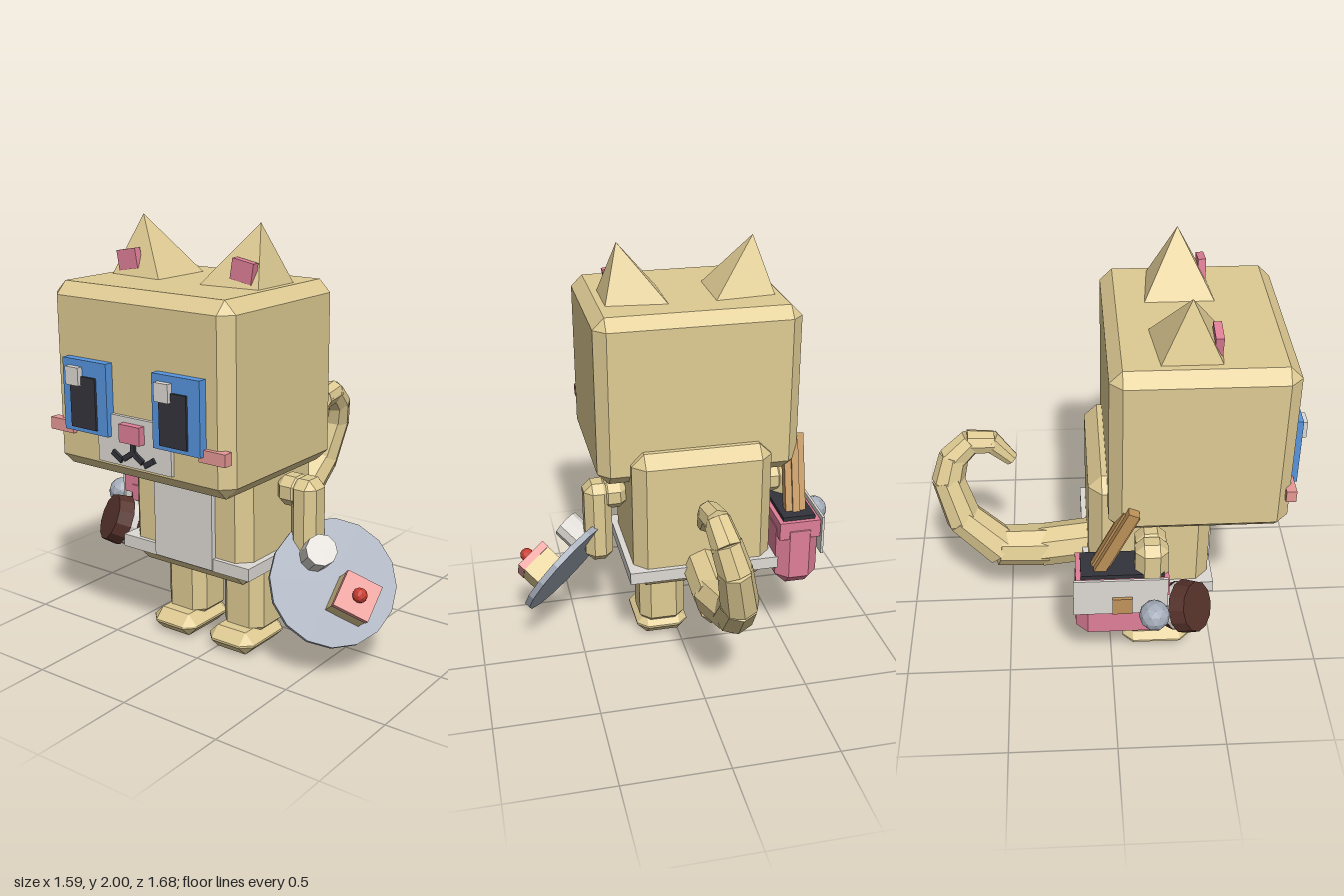
import * as THREE from 'three';
import { ConvexGeometry } from 'three/addons/geometries/ConvexGeometry.js';

const V = (x, y, z) => new THREE.Vector3(x, y, z);
const CX = -0.09; // body symmetry plane

export function createModel() {
  const root = new THREE.Group();
  root.name = 'catAdventurer';

  const material = (name, color) => {
    const m = new THREE.MeshStandardMaterial({ color, flatShading: true });
    m.name = name;
    return m;
  };
  const fur = material('fur', 0xdfcb93);
  const white = material('white', 0xdedad5);
  const blue = material('blue', 0x5795de);
  const pink = material('pink', 0xe07f98);
  const blush = material('blush', 0xe89a96);
  const black = material('black', 0x33343b);
  const steel = material('steel', 0xa4acb9);
  const brown = material('brown', 0x56322b);
  const wood = material('wood', 0xc0935a);
  const red = material('red', 0xc83a30);

  const add = (name, geometry, mat, pos = V(0, 0, 0), parent = root) => {
    const mesh = new THREE.Mesh(geometry, mat);
    mesh.name = name;
    mesh.position.copy(pos);
    parent.add(mesh);
    return mesh;
  };

  // Box given by its limits on each axis
  const box = (name, mat, x0, x1, y0, y1, z0, z1, parent) =>
    add(name, new THREE.BoxGeometry(x1 - x0, y1 - y0, z1 - z0), mat,
      V((x0 + x1) / 2, (y0 + y1) / 2, (z0 + z1) / 2), parent);

  // Box with all edges chamfered by c
  const chamferBox = (name, mat, x0, x1, y0, y1, z0, z1, c) => {
    const h = V((x1 - x0) / 2, (y1 - y0) / 2, (z1 - z0) / 2);
    const points = [];
    for (const sx of [-1, 1]) for (const sy of [-1, 1]) for (const sz of [-1, 1]) {
      points.push(V(sx * h.x, sy * (h.y - c), sz * (h.z - c)));
      points.push(V(sx * (h.x - c), sy * h.y, sz * (h.z - c)));
      points.push(V(sx * (h.x - c), sy * (h.y - c), sz * h.z));
    }
    return add(name, new ConvexGeometry(points), mat,
      V((x0 + x1) / 2, (y0 + y1) / 2, (z0 + z1) / 2));
  };

  // Cylinder or cone between two points
  const rod = (name, mat, a, b, ra, rb, sides) => {
    const d = b.clone().sub(a);
    const mesh = add(name, new THREE.CylinderGeometry(rb, ra, d.length(), sides), mat,
      a.clone().add(b).multiplyScalar(0.5));
    mesh.quaternion.setFromUnitVectors(V(0, 1, 0), d.normalize());
    return mesh;
  };

  // Head and torso
  chamferBox('head', fur, -0.58, 0.40, 0.915, 1.74, -0.02, 0.77, 0.055);
  chamferBox('torso', fur, -0.43, 0.25, 0.38, 1.09, -0.105, 0.455, 0.06);
  box('bib', white, -0.255, 0.08, 0.45, 0.93, 0.42, 0.48);
  box('belt', white, -0.455, 0.28, 0.445, 0.505, -0.13, 0.475);

  // Paired parts, mirrored about the symmetry plane
  for (const s of [-1, 1]) {
    const side = s > 0 ? 'left' : 'right';
    const pair = (make, name, mat, x0, x1, ...rest) => make(side + name, mat,
      CX + Math.min(s * x0, s * x1), CX + Math.max(s * x0, s * x1), ...rest);

    pair(chamferBox, 'Leg', fur, 0.055, 0.285, 0.06, 0.46, 0.06, 0.29, 0.05);
    pair(chamferBox, 'Foot', fur, 0.04, 0.30, 0, 0.11, 0.06, 0.39, 0.05);
    pair(chamferBox, 'Shoulder', fur, 0.33, 0.47, 0.73, 0.87, 0.10, 0.24, 0.04);
    pair(chamferBox, 'Arm', fur, 0.41, 0.545, 0.45, 0.87, 0.095, 0.245, 0.04);
    pair(box, 'Eye', blue, 0.127, 0.378, 1.105, 1.425, 0.76, 0.81);
    pair(box, 'Cheek', blush, 0.352, 0.488, 1.08, 1.135, 0.745, 0.79);

    // Ears are pyramids leaning outward
    add(side + 'Ear', new ConvexGeometry([
      V(CX + s * 0.11, 1.735, 0.16), V(CX + s * 0.405, 1.735, 0.19),
      V(CX + s * 0.405, 1.735, 0.45), V(CX + s * 0.11, 1.735, 0.475),
      V(CX + s * 0.325, 2.0, 0.32),
    ]), fur);
    const inner = add(side + 'InnerEar', new THREE.BoxGeometry(0.11, 0.09, 0.035), pink,
      V(CX + s * 0.317, 1.81, 0.43));
    inner.rotation.z = -s * 0.17;

    // Pupils and glints keep the same offset in both eyes
    const ex = s > 0 ? 0.04 : -0.46;
    box(side + 'Pupil', black, ex + 0.04, ex + 0.185, 1.125, 1.355, 0.80, 0.82);
    box(side + 'Glint', white, ex + 0.03, ex + 0.105, 1.315, 1.395, 0.80, 0.837);

    // Mouth curve, two short bars each side
    const bar = (x, y, a) => {
      const m = add(side + 'Mouth', new THREE.BoxGeometry(0.062, 0.024, 0.02), black,
        V(CX + s * x, y, 0.79));
      m.rotation.z = s * a;
    };
    bar(0.027, 1.037, -0.6);
    bar(0.09, 1.025, 0.55);
  }

  // Muzzle
  box('muzzle', white, -0.295, 0.115, 0.985, 1.205, 0.76, 0.787);
  box('nose', pink, -0.145, -0.03, 1.10, 1.18, 0.78, 0.82);
  box('mouthStem', black, -0.1, -0.078, 1.04, 1.10, 0.78, 0.80);

  // Tail of tapering eight-sided segments: x, y, z, radius
  const tail = [
    [-0.09, 0.48, -0.08, 0.105], [-0.09, 0.45, -0.32, 0.105], [-0.125, 0.485, -0.53, 0.098],
    [-0.10, 0.65, -0.70, 0.088], [-0.06, 0.85, -0.76, 0.078], [-0.03, 0.96, -0.73, 0.07],
    [-0.01, 1.035, -0.65, 0.06], [0.0, 1.025, -0.55, 0.055], [0.0, 0.93, -0.465, 0.035],
  ];
  for (let i = 0; i < tail.length - 1; i++) {
    const a = V(...tail[i]), b = V(...tail[i + 1]);
    const overlap = b.clone().sub(a).normalize().multiplyScalar(0.012);
    rod('tailSegment', fur, a.sub(overlap), b.add(overlap), tail[i][3], tail[i + 1][3], 8);
  }

  // Tray with cup and cake; local y is the tray's normal
  const tray = new THREE.Group();
  tray.name = 'tray';
  tray.position.set(0.54, 0.41, 0.19);
  const normal = V(0.63, 0.55, 0.55).normalize();
  const across = V(0, -1, 1).normalize();
  tray.quaternion.setFromRotationMatrix(new THREE.Matrix4().makeBasis(
    normal.clone().cross(across), normal, across));
  root.add(tray);
  add('trayPlate', new THREE.CylinderGeometry(0.293, 0.293, 0.03, 16), steel, V(0, 0, 0), tray);
  add('cup', new THREE.CylinderGeometry(0.072, 0.072, 0.135, 10), white, V(-0.126, 0.08, -0.067), tray);
  box('cake', fur, 0.015, 0.18, 0.01, 0.13, -0.033, 0.133, tray);
  box('icing', blush, 0.013, 0.182, 0.13, 0.17, -0.035, 0.135, tray);
  add('berry', new THREE.IcosahedronGeometry(0.034, 1), red, V(0.1, 0.19, 0.05), tray);

  // Hip bag with dark opening, side panel, tag and a leaning board
  chamferBox('bag', pink, -0.655, -0.445, 0.35, 0.715, -0.175, 0.25, 0.055);
  box('bagRim', pink, -0.652, -0.448, 0.62, 0.71, -0.172, 0.247);
  box('bagOpening', black, -0.63, -0.47, 0.68, 0.73, -0.15, 0.225);
  box('bagPanel', white, -0.667, -0.655, 0.53, 0.73, -0.185, 0.24);
  box('bagTag', wood, -0.682, -0.667, 0.54, 0.63, -0.01, 0.08);
  const board = add('board', new THREE.BoxGeometry(0.1, 0.43, 0.05), wood, V(-0.56, 0.87, 0.0));
  board.rotation.set(0.42, 0, 0.06);
  const boardTrim = add('boardTrim', new THREE.BoxGeometry(0.035, 0.38, 0.08), wood, V(-0.56, 0.86, 0.0));
  boardTrim.rotation.copy(board.rotation);

  // Ball beside the bag
  add('ball', new THREE.IcosahedronGeometry(0.07, 1), steel, V(-0.735, 0.58, 0.175));
  rod('ballStem', black, V(-0.70, 0.57, 0.19), V(-0.56, 0.5, 0.24), 0.025, 0.025, 8);

  // Banded drum held in the right hand
  const front = V(-0.635, 0.525, 0.38);
  const axis = V(-0.5, 0.4, 0.77).normalize();
  const along = (t) => front.clone().addScaledVector(axis, -t);
  rod('drumHead', brown, along(0.075), along(0), 0.125, 0.115, 12);
  rod('drumBand', white, along(0.11), along(0.075), 0.112, 0.112, 12);
  rod('drumBase', brown, along(0.17), along(0.11), 0.095, 0.115, 12);

  return root;
}
